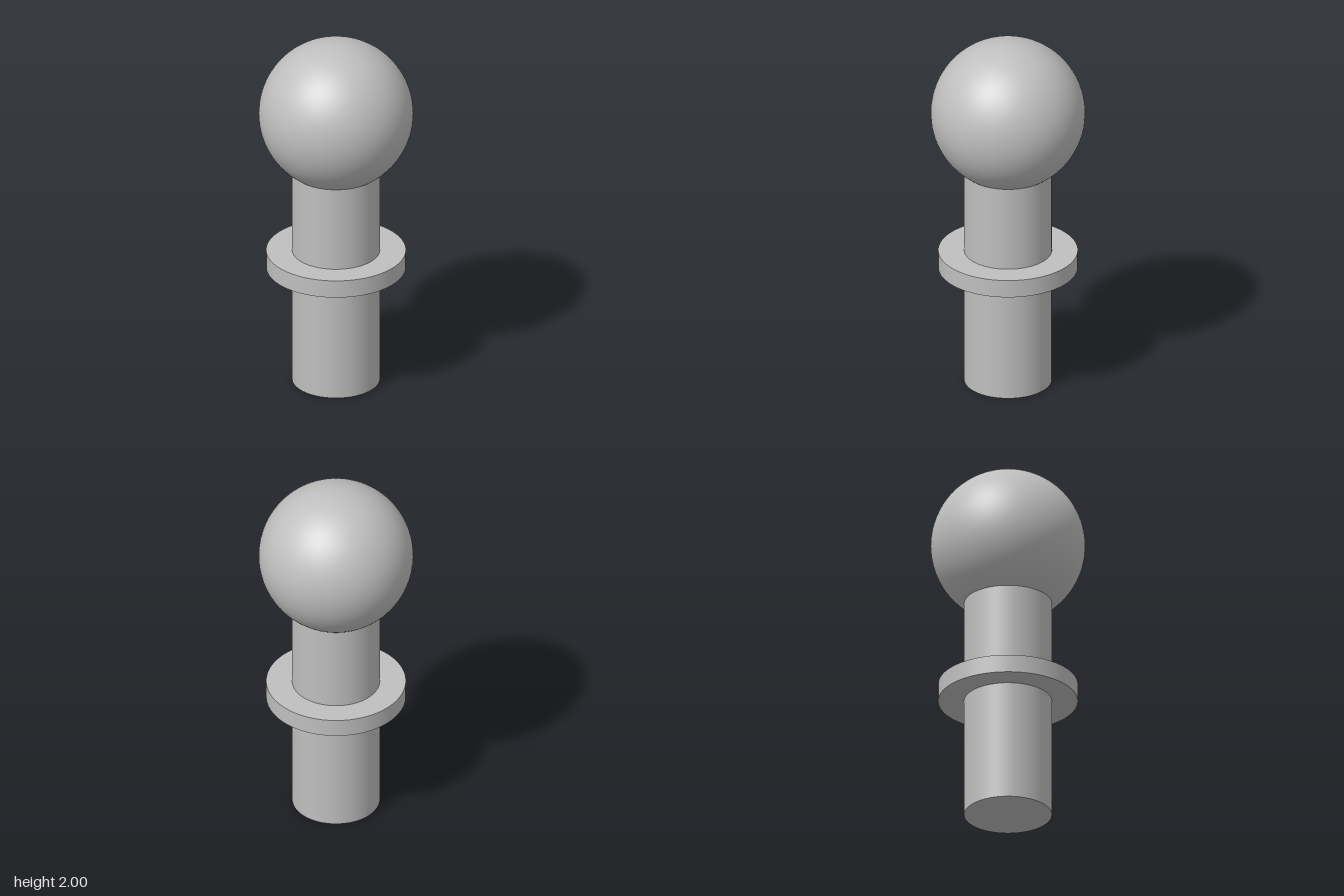
import * as THREE from 'three';

export function createModel() {
  const group = new THREE.Group();
  const steel = new THREE.MeshStandardMaterial({ color: 0xbfbfbf });
  steel.name = 'steel grey';

  const SEGMENTS = 96;
  const BALL_RADIUS = 0.414;
  const BALL_Y = 2 - BALL_RADIUS;
  const SHAFT_RADIUS = 0.235;
  // height at which the shaft meets the ball
  const NECK_Y = BALL_Y - Math.sqrt(BALL_RADIUS ** 2 - SHAFT_RADIUS ** 2);

  function add(name, geometry, y) {
    const mesh = new THREE.Mesh(geometry, steel);
    mesh.name = name;
    mesh.position.y = y;
    group.add(mesh);
  }

  // Upright disc spanning two heights
  function addCylinder(name, radius, bottom, top) {
    add(name, new THREE.CylinderGeometry(radius, radius, top - bottom, SEGMENTS), (bottom + top) / 2);
  }

  addCylinder('shaft', SHAFT_RADIUS, 0, NECK_Y);
  addCylinder('collar', 0.374, 0.67, 0.77);

  // Ball, cut off where it sits on the shaft
  const cut = Math.PI - Math.asin(SHAFT_RADIUS / BALL_RADIUS);
  add('ball', new THREE.SphereGeometry(BALL_RADIUS, SEGMENTS, 64, 0, Math.PI * 2, 0, cut), BALL_Y);

  return group;
}
